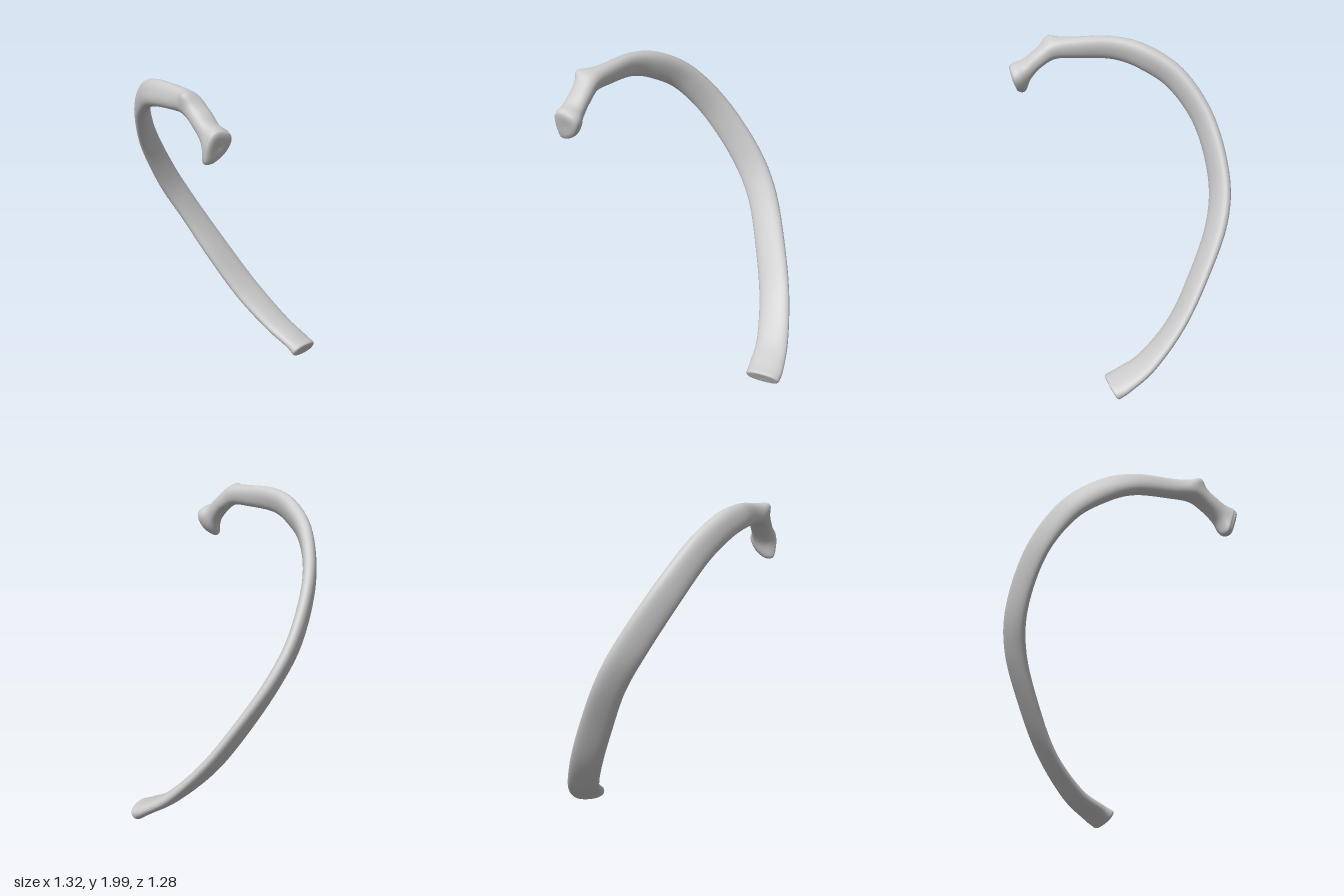
import * as THREE from 'three';

// Stations from head to front end: centre, half-height vector, half-thickness, taper towards the lower edge
const STATIONS = [
  { c: [0.632, 1.727, 0.56], w: [0.025, 0.085, -0.03], b: 0.075, k: 0.3 },
  { c: [0.60, 1.735, 0.56], w: [0.03, 0.093, -0.03], b: 0.08, k: 0.3 },
  { c: [0.555, 1.79, 0.557], w: [0.022, 0.06, -0.01], b: 0.07, k: 0.1 },
  { c: [0.48, 1.86, 0.555], w: [0.02, 0.052, 0], b: 0.069, k: 0 },
  { c: [0.385, 1.92, 0.555], w: [0.015, 0.062, -0.01], b: 0.066, k: 0 },
  { c: [0.24, 1.929, 0.535], w: [0, 0.068, -0.015], b: 0.052, k: 0 },
  { c: [0.0, 1.92, 0.513], w: [0, 0.076, -0.022], b: 0.05, k: 0 },
  { c: [-0.19, 1.865, 0.452], w: [-0.02, 0.08, -0.03], b: 0.05, k: 0.1 },
  { c: [-0.385, 1.735, 0.355], w: [-0.035, 0.07, -0.045], b: 0.045, k: 0.15 },
  { c: [-0.535, 1.50, 0.21], w: [-0.04, 0.055, -0.065], b: 0.04, k: 0.15 },
  { c: [-0.595, 1.20, 0.02], w: [-0.04, 0.045, -0.078], b: 0.04, k: 0.1 },
  { c: [-0.555, 0.95, -0.13], w: [-0.04, 0.04, -0.08], b: 0.04, k: 0.1 },
  { c: [-0.42, 0.66, -0.27], w: [-0.03, 0.035, -0.09], b: 0.038, k: 0 },
  { c: [-0.26, 0.40, -0.39], w: [-0.025, 0.03, -0.095], b: 0.037, k: 0 },
  { c: [-0.06, 0.195, -0.485], w: [-0.025, 0.01, -0.1], b: 0.04, k: 0 },
  { c: [0.10, 0.1, -0.528], w: [-0.025, -0.008, -0.107], b: 0.043, k: 0 },
  { c: [0.172, 0.062, -0.537], w: [-0.022, -0.01, -0.108], b: 0.052, k: 0 },
];
const SIDES = 32, STEPS = 160;

const curve = (f) =>
  new THREE.CatmullRomCurve3(STATIONS.map((s) => new THREE.Vector3(...f(s))), false, 'catmullrom', 0.5);

// Raised knobs on the shaft: position, radius and push
const KNOBS = [
  { p: new THREE.Vector3(0.40, 1.97, 0.60), r: 0.045, push: new THREE.Vector3(0.01, 0.018, 0.025) },
  { p: new THREE.Vector3(0.60, 1.64, 0.60), r: 0.05, push: new THREE.Vector3(0, -0.01, 0.015) },
];

function ribGeometry() {
  const centres = curve((s) => s.c), heights = curve((s) => s.w), shapes = curve((s) => [s.b, s.k, 0]);
  const positions = [], index = [];

  // One closed cross-section
  function ring(t, scale, shift) {
    const c = centres.getPoint(t), w = heights.getPoint(t), shape = shapes.getPoint(t);
    const tangent = centres.getTangent(t);
    const side = tangent.clone().cross(w).normalize().multiplyScalar(shape.x);
    c.addScaledVector(tangent, shift);
    for (let j = 0; j < SIDES; j++) {
      const a = (j / SIDES) * Math.PI * 2;
      const u = Math.cos(a), v = Math.sin(a);
      const round = (n) => Math.sign(n) * Math.abs(n) ** 0.88;
      const p = c.clone()
        .addScaledVector(w, round(u) * scale)
        .addScaledVector(side, round(v) * scale * (1 + shape.y * u));
      for (const k of KNOBS) {
        p.addScaledVector(k.push, scale * Math.exp(-p.distanceToSquared(k.p) / (k.r * k.r)));
      }
      positions.push(p.x, p.y, p.z);
    }
  }

  // Rounded caps at both ends, the shaft between
  ring(0, 0, -0.008);
  ring(0, 0.6, -0.012);
  ring(0, 0.88, -0.009);
  for (let i = 0; i <= STEPS; i++) ring(i / STEPS, 1, 0);
  ring(1, 0.94, 0.008);
  ring(1, 0.82, 0.011);
  ring(1, 0, 0.008);

  const rings = positions.length / 3 / SIDES;
  for (let i = 0; i < rings - 1; i++) {
    for (let j = 0; j < SIDES; j++) {
      const a = i * SIDES + j, b = i * SIDES + ((j + 1) % SIDES);
      index.push(a, b, a + SIDES, b, b + SIDES, a + SIDES);
    }
  }
  const geometry = new THREE.BufferGeometry();
  geometry.setAttribute('position', new THREE.Float32BufferAttribute(positions, 3));
  geometry.setIndex(index);
  geometry.computeVertexNormals();
  return geometry;
}

export function createModel() {
  const group = new THREE.Group();
  group.name = 'rib';
  const bone = new THREE.Mesh(ribGeometry(), new THREE.MeshStandardMaterial({ color: 0xcccccc }));
  bone.name = 'ribBone';
  group.add(bone);
  return group;
}
